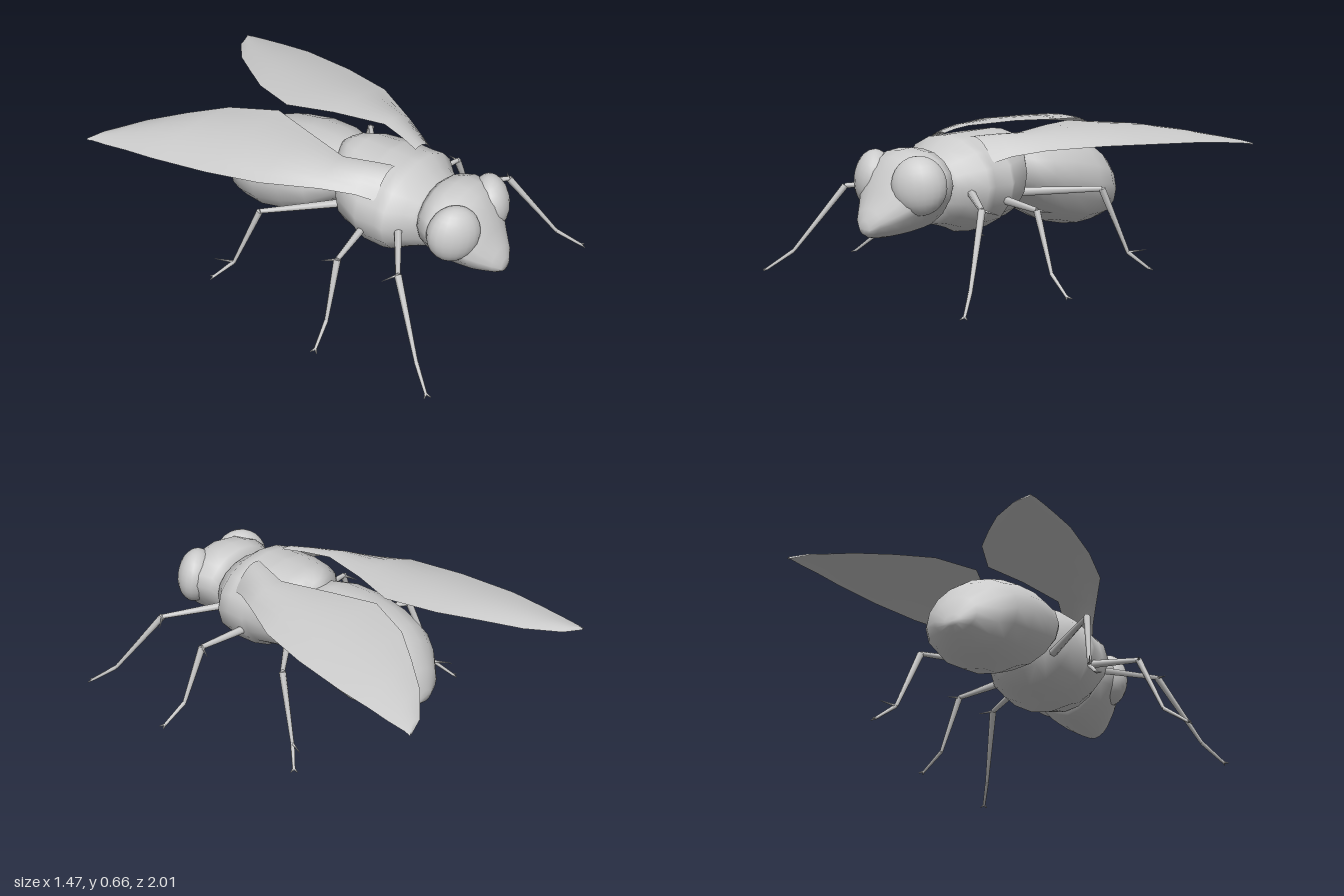
import * as THREE from 'three';

const grey = new THREE.MeshStandardMaterial({ color: 0xcccccc });
const thin = new THREE.MeshStandardMaterial({ color: 0xcccccc, side: THREE.DoubleSide });

function addMesh(parent, name, geometry, material = grey) {
  const mesh = new THREE.Mesh(geometry, material);
  mesh.name = name;
  parent.add(mesh);
  return mesh;
}

function indexed(pos, idx) {
  const g = new THREE.BufferGeometry();
  g.setAttribute('position', new THREE.Float32BufferAttribute(pos, 3));
  g.setIndex(idx);
  g.computeVertexNormals();
  return g;
}

// Closed body from cross-sections, front to back: [z, top, bottom, half width, height of widest point]
function loft(rings, lowerPower = 1, sides = 16) {
  const pos = [], idx = [];
  for (const [z, top, bottom, w, mid] of rings) {
    for (let j = 0; j < sides; j++) {
      const a = (j / sides) * Math.PI * 2, c = Math.cos(a), s = Math.sin(a);
      const p = s < 0 ? lowerPower : 1;
      const x = Math.sign(c) * Math.abs(c) ** p * w;
      const y = s < 0 ? mid - (mid - bottom) * Math.abs(s) ** p : mid + (top - mid) * s;
      pos.push(x, y, z);
    }
  }
  const n = rings.length;
  for (let i = 0; i < n - 1; i++) {
    for (let j = 0; j < sides; j++) {
      const k = (j + 1) % sides;
      const a = i * sides + j, b = a + sides, c = i * sides + k, d = c + sides;
      idx.push(a, b, c, c, b, d);
    }
  }
  const front = n * sides, back = front + 1, last = (n - 1) * sides;
  for (const r of [rings[0], rings[n - 1]]) pos.push(0, r[4], r[0]);
  for (let j = 0; j < sides; j++) {
    const k = (j + 1) % sides;
    idx.push(front, j, k, back, last + k, last + j);
  }
  return indexed(pos, idx);
}

// Tapered limb segment between two points
function limb(parent, name, from, to, r0, r1) {
  const a = new THREE.Vector3(...from), b = new THREE.Vector3(...to);
  const dir = b.clone().sub(a);
  const mesh = addMesh(parent, name, new THREE.CylinderGeometry(r1, r0, dir.length(), 6));
  mesh.position.copy(a).add(b).multiplyScalar(0.5);
  mesh.quaternion.setFromUnitVectors(new THREE.Vector3(0, 1, 0), dir.normalize());
}

// Wing drooping towards its outer edge: rows from root to tip [inner x, inner z, outer x, outer z, inner y, outer y]
function wing(side) {
  const rows = [
    [0.08, 0.40, 0.24, 0.40, 0.645, 0.54],
    [0.12, 0.30, 0.28, 0.32, 0.65, 0.565],
    [0.165, 0.17, 0.36, 0.18, 0.65, 0.585],
    [0.10, -0.08, 0.495, -0.06, 0.657, 0.595],
    [0.03, -0.30, 0.56, -0.32, 0.652, 0.585],
    [0.12, -0.53, 0.60, -0.60, 0.63, 0.57],
    [0.24, -0.69, 0.605, -0.76, 0.60, 0.555],
    [0.36, -0.84, 0.61, -0.88, 0.565, 0.54],
    [0.50, -0.96, 0.61, -0.97, 0.535, 0.53],
    [0.60, -0.998, 0.61, -1.0, 0.52, 0.52],
  ];
  const cols = 8, pos = [], idx = [];
  rows.forEach(([xi, zi, xo, zo, yi, yo], i) => {
    for (let j = 0; j <= cols; j++) {
      const t = j / cols;
      const y = yi + (yo - yi) * t ** 2.2 + 0.01 * Math.sin(Math.PI * t);
      pos.push(side * (xi + (xo - xi) * t), y, zi + (zo - zi) * t);
      if (i < rows.length - 1 && j < cols) {
        const a = i * (cols + 1) + j, b = a + 1, c = a + cols + 1, d = c + 1;
        if (side > 0) idx.push(a, b, c, b, d, c);
        else idx.push(a, c, b, b, c, d);
      }
    }
  });
  return indexed(pos, idx);
}

export function createModel() {
  const model = new THREE.Group();
  model.name = 'fly';

  addMesh(model, 'head', loft([
    [0.95, 0.32, 0.255, 0.035, 0.28],
    [0.925, 0.37, 0.24, 0.08, 0.31],
    [0.88, 0.44, 0.233, 0.125, 0.34],
    [0.84, 0.53, 0.23, 0.165, 0.37],
    [0.79, 0.585, 0.23, 0.20, 0.41],
    [0.74, 0.61, 0.232, 0.23, 0.45],
    [0.67, 0.615, 0.24, 0.235, 0.47],
    [0.61, 0.605, 0.25, 0.205, 0.46],
    [0.57, 0.57, 0.28, 0.16, 0.44],
  ], 1.25));

  addMesh(model, 'thorax', loft([
    [0.61, 0.54, 0.29, 0.15, 0.43],
    [0.57, 0.58, 0.255, 0.195, 0.44],
    [0.53, 0.605, 0.245, 0.225, 0.44],
    [0.47, 0.65, 0.225, 0.29, 0.44],
    [0.42, 0.653, 0.20, 0.28, 0.44],
    [0.32, 0.655, 0.21, 0.285, 0.44],
    [0.30, 0.655, 0.235, 0.28, 0.45],
    [0.18, 0.657, 0.24, 0.235, 0.47],
    [0.12, 0.65, 0.30, 0.165, 0.50],
    [0.08, 0.63, 0.36, 0.10, 0.52],
    [0.055, 0.605, 0.42, 0.04, 0.54],
  ]));

  addMesh(model, 'abdomen', loft([
    [0.16, 0.57, 0.38, 0.14, 0.48],
    [0.08, 0.60, 0.32, 0.21, 0.46],
    [0.00, 0.615, 0.25, 0.25, 0.44],
    [-0.14, 0.615, 0.18, 0.27, 0.41],
    [-0.29, 0.59, 0.145, 0.265, 0.37],
    [-0.40, 0.545, 0.15, 0.24, 0.35],
    [-0.47, 0.495, 0.158, 0.195, 0.32],
    [-0.55, 0.39, 0.21, 0.11, 0.29],
    [-0.578, 0.29, 0.235, 0.04, 0.26],
  ]));

  // Each leg: hip, knee, ankle, foot and spur tip for the model's left side
  const legs = {
    front: [[0.17, 0.42, 0.48], [0.46, 0.39, 0.68], [0.60, 0.09, 0.88], [0.67, 0.01, 0.98], [0.52, 0.37, 0.635]],
    middle: [[0.20, 0.37, 0.33], [0.49, 0.355, 0.375], [0.60, 0.09, 0.395], [0.71, 0.01, 0.415], [0.52, 0.34, 0.31]],
    hind: [[0.15, 0.37, 0.14], [0.44, 0.39, -0.10], [0.50, 0.085, -0.215], [0.565, 0.01, -0.285], [0.54, 0.09, -0.30]],
  };

  for (const [label, side] of [['left', 1], ['right', -1]]) {
    // Large eyes flattened along a forward and outward direction
    const eye = addMesh(model, label + 'Eye', new THREE.SphereGeometry(1, 20, 14));
    eye.scale.set(0.125, 0.132, 0.088);
    eye.position.set(side * 0.154, 0.47, 0.765);
    eye.rotation.set(0, side * 0.64, side * 0.18, 'ZYX');

    addMesh(model, label + 'Wing', wing(side), thin);

    for (const [which, points] of Object.entries(legs)) {
      const leg = new THREE.Group();
      leg.name = `${label}${which[0].toUpperCase()}${which.slice(1)}Leg`;
      model.add(leg);
      const [hip, knee, ankle, foot, spur] = points.map(([x, y, z]) => [side * x, y, z]);
      limb(leg, 'thigh', hip, knee, 0.021, 0.012);
      limb(leg, 'shin', knee, ankle, 0.017, 0.009);
      limb(leg, 'tarsus', ankle, foot, 0.01, 0.007);
      limb(leg, 'spur', which === 'hind' ? ankle : knee, spur, 0.007, 0.001);
      // Pair of claws spread at the toe
      const dir = new THREE.Vector3(...foot).sub(new THREE.Vector3(...ankle)).setY(0).normalize();
      for (const s of [-1, 1]) {
        const tip = [foot[0] + dir.x * 0.02 + dir.z * 0.016 * s, 0.002, foot[2] + dir.z * 0.02 - dir.x * 0.016 * s];
        limb(leg, 'claw', foot, tip, 0.007, 0.002);
      }
    }
  }
  return model;
}
